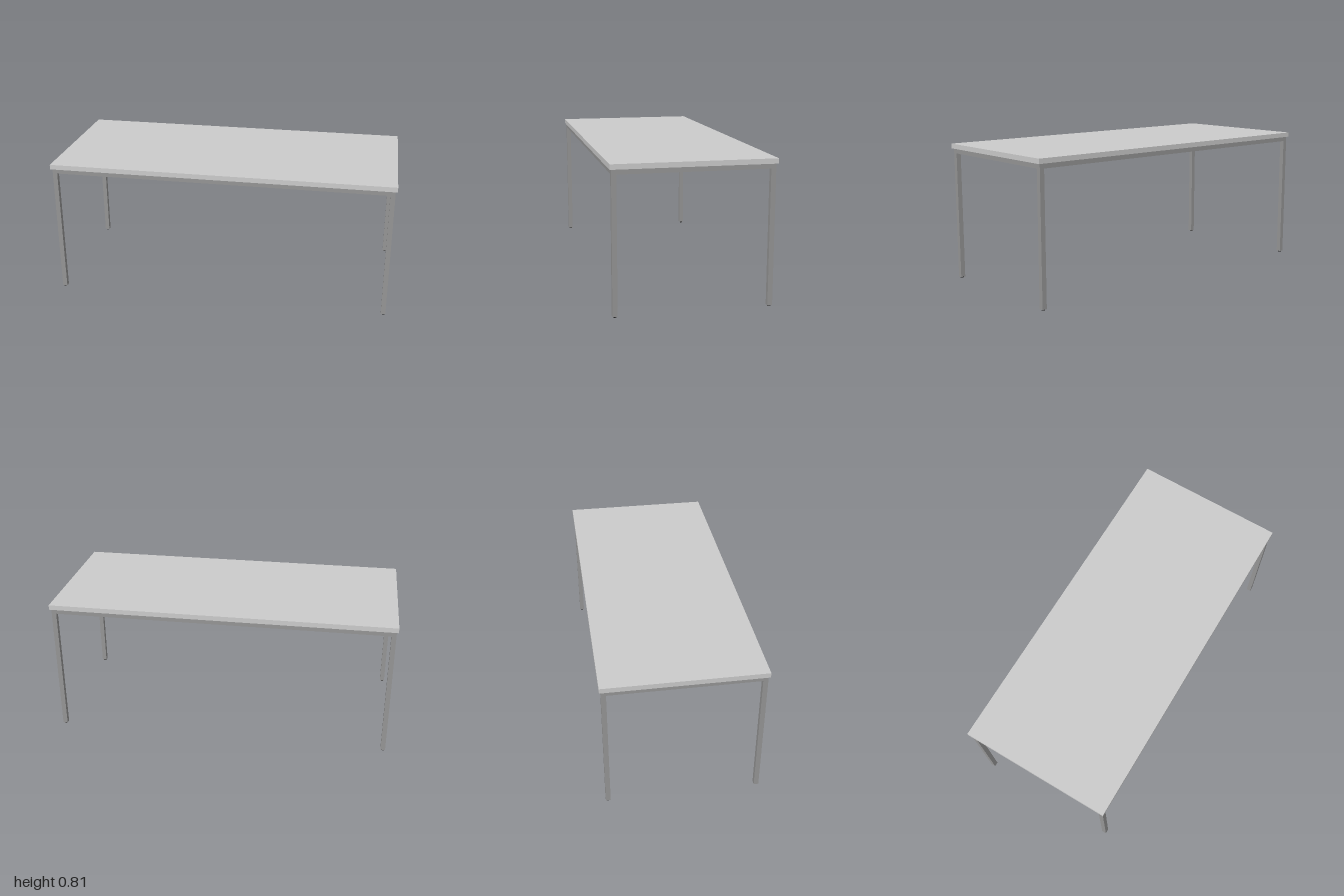
import * as THREE from 'three';

const TOP_Y = 0.808, FRAME_Y = 0.78, FOOT_H = 0.006;
const BAR = 0.027;                 // square tube width
const LEG_X = 0.976, LEG_Z = 0.4215; // leg centre lines

export function createModel() {
  const table = new THREE.Group();
  table.name = 'table';
  const topMat = new THREE.MeshStandardMaterial({ color: 0xcccccc });
  const frameMat = new THREE.MeshStandardMaterial({ color: 0x959595 });
  const footMat = new THREE.MeshStandardMaterial({ color: 0x222222 });

  const add = (name, geometry, material, x, y, z) => {
    const mesh = new THREE.Mesh(geometry, material);
    mesh.name = name;
    mesh.position.set(x, y, z);
    table.add(mesh);
  };

  // Table top
  add('tableTop', new THREE.BoxGeometry(2, TOP_Y - FRAME_Y, 0.888), topMat, 0, (TOP_Y + FRAME_Y) / 2, 0);

  // Legs with small round glides
  const legH = FRAME_Y - FOOT_H;
  const legGeo = new THREE.BoxGeometry(BAR, legH, BAR);
  const footGeo = new THREE.CylinderGeometry(0.0095, 0.0095, FOOT_H, 16);
  for (const [sx, side] of [[1, 'Left'], [-1, 'Right']]) {
    for (const [sz, end] of [[1, 'front'], [-1, 'back']]) {
      add(`${end}${side}Leg`, legGeo, frameMat, sx * LEG_X, FOOT_H + legH / 2, sz * LEG_Z);
      add(`${end}${side}Foot`, footGeo, footMat, sx * LEG_X, FOOT_H / 2, sz * LEG_Z);
    }
  }

  // Rails between the legs, flush with them
  const railY = FRAME_Y - BAR / 2;
  const longRail = new THREE.BoxGeometry(2 * LEG_X - BAR, BAR, BAR);
  const shortRail = new THREE.BoxGeometry(BAR, BAR, 2 * LEG_Z - BAR);
  add('frontRail', longRail, frameMat, 0, railY, LEG_Z);
  add('backRail', longRail, frameMat, 0, railY, -LEG_Z);
  add('leftRail', shortRail, frameMat, LEG_X, railY, 0);
  add('rightRail', shortRail, frameMat, -LEG_X, railY, 0);

  return table;
}
